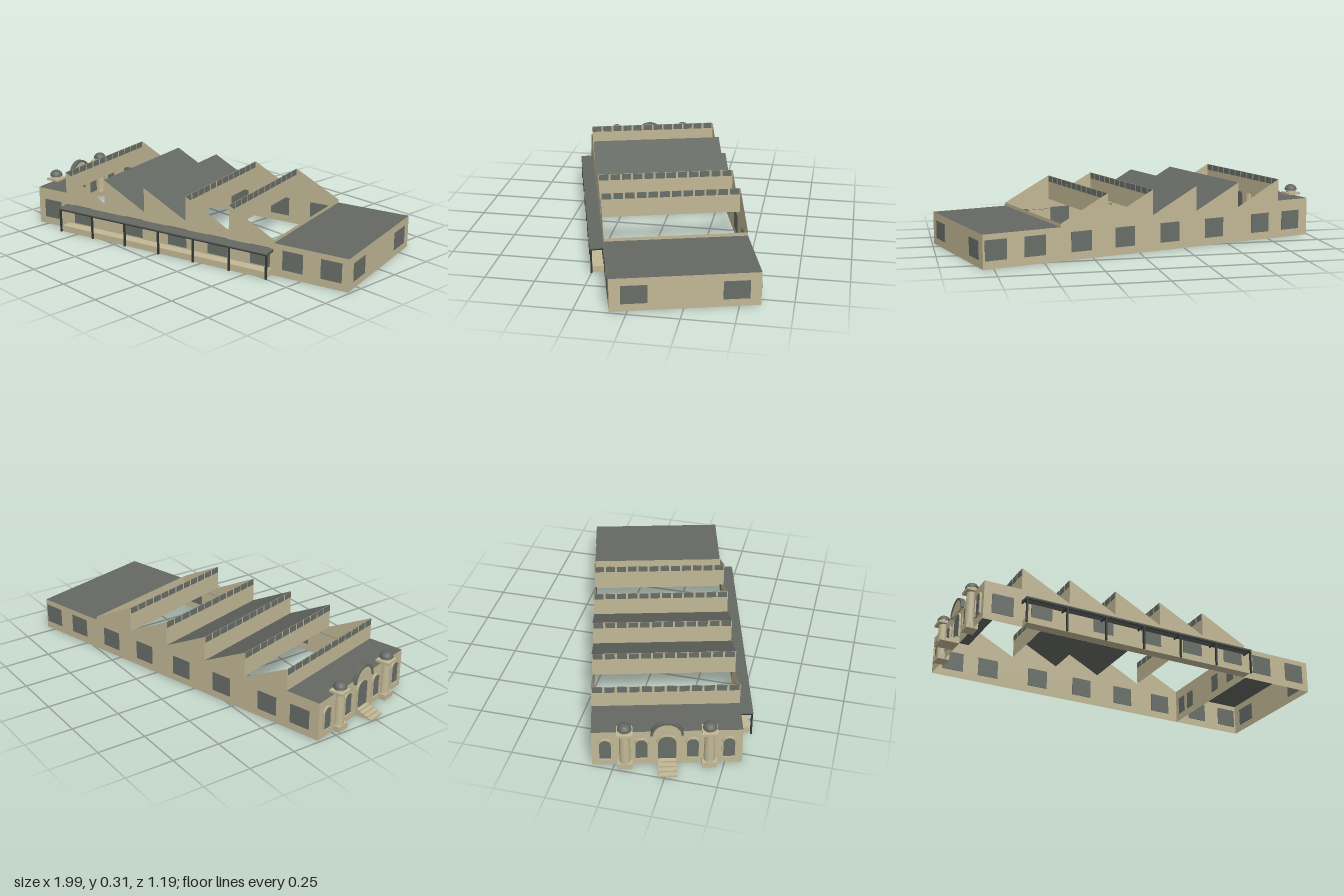
import * as THREE from 'three';

const mat = (name, color, side = THREE.FrontSide) => {
  const m = new THREE.MeshStandardMaterial({ color, side });
  m.name = name;
  return m;
};

export function createModel() {
  const wall = mat('sand wall', 0xc2b896, THREE.DoubleSide);
  const roof = mat('grey roof', 0x646862, THREE.DoubleSide);
  const glass = mat('window grey', 0x686e68, THREE.DoubleSide);
  const metal = mat('dark metal', 0x343a37);

  const model = new THREE.Group();
  const building = new THREE.Group();
  building.name = 'factory';
  building.rotation.y = 0.2705;
  building.position.z = -0.01;
  model.add(building);

  const L = 0.93, W = 0.353;            // half length, half width
  const HEAD = -0.741, TAIL = 0.53;     // hall limits along x
  const BAYS = 5, STEP = (TAIL - HEAD) / BAYS;
  const VALLEY = 0.185, PEAK = 0.315, HEAD_H = 0.2, TAIL_H = 0.168;

  const add = (name, geo, m, x = 0, y = 0, z = 0, parent = building) => {
    const mesh = new THREE.Mesh(geo, m);
    mesh.name = name;
    mesh.position.set(x, y, z);
    parent.add(mesh);
    return mesh;
  };
  const box = (name, m, w, h, d, x, y, z, parent) =>
    add(name, new THREE.BoxGeometry(w, h, d), m, x, y, z, parent);
  // thin wall standing across the building
  const crossWall = (name, x, y0, y1) => {
    const p = add(name, new THREE.PlaneGeometry(2 * W, y1 - y0), wall, x, (y0 + y1) / 2, 0);
    p.rotation.y = -Math.PI / 2;
  };
  // roof sheet between two heights
  const roofSheet = (name, x0, y0, x1, y1) => {
    const g = new THREE.PlaneGeometry(Math.hypot(x1 - x0, y1 - y0), 2 * W);
    g.rotateX(-Math.PI / 2);
    g.rotateZ(Math.atan2(y1 - y0, x1 - x0));
    add(name, g, roof, (x0 + x1) / 2, (y0 + y1) / 2, 0);
  };

  // long side walls with the sawtooth outline
  const side = new THREE.Shape();
  side.moveTo(-L, 0);
  side.lineTo(L, 0);
  side.lineTo(L, TAIL_H);
  side.lineTo(TAIL, TAIL_H);
  side.lineTo(TAIL, VALLEY);
  for (let i = BAYS - 1; i >= 0; i--) {
    side.lineTo(HEAD + i * STEP, PEAK);
    side.lineTo(HEAD + i * STEP, i ? VALLEY : HEAD_H);
  }
  side.lineTo(-L, HEAD_H);
  const sideGeo = new THREE.ShapeGeometry(side);
  add('frontWall', sideGeo, wall, 0, 0, W);
  add('backWall', sideGeo, wall, 0, 0, -W);

  // cross walls and flat roofs of the end blocks
  crossWall('entranceWall', -L, 0, HEAD_H);
  crossWall('tailWall', L, 0, TAIL_H);
  crossWall('partitionWall', TAIL, 0, VALLEY);
  roofSheet('headRoof', -L, HEAD_H, HEAD, HEAD_H);
  roofSheet('tailRoof', TAIL, TAIL_H, L, TAIL_H);

  // sawtooth uprights with clerestory panes; two bays are roofed
  const PANES = 12, pitch = (2 * W) / PANES;
  for (let i = 0; i < BAYS; i++) {
    const x = HEAD + i * STEP;
    crossWall('clerestoryWall', x, i ? VALLEY : HEAD_H, PEAK);
    for (let k = 0; k < PANES; k++)
      box('clerestoryPane', glass, 0.006, 0.031, pitch * 0.82, x, 0.298, -W + (k + 0.5) * pitch);
    if (i === 1 || i === 2) roofSheet('sawtoothRoof', x, PEAK, x + STEP, VALLEY);
  }

  // wall windows
  for (const x of [-0.834, -0.633, -0.3, -0.03, 0.21, 0.454, 0.634, 0.84])
    box('frontWindow', glass, 0.11, 0.1, 0.006, x, 0.09, W);
  for (const x of [-0.82, -0.626, -0.34, -0.076, 0.18, 0.42, 0.665, 0.865])
    box('backWindow', glass, 0.11, 0.1, 0.006, x, 0.09, -W);
  for (const z of [-0.238, 0.238])
    box('tailWindow', glass, 0.006, 0.092, 0.125, L, 0.084, z);
  for (const z of [-0.29, -0.2, 0.06, 0.21, 0.3])
    box('partitionWindow', glass, 0.006, 0.09, 0.06, TAIL, 0.085, z);

  // loading platform with canopy and posts
  const c0 = -0.74, c1 = 0.528, cm = (c0 + c1) / 2, cl = c1 - c0;
  box('platform', wall, cl - 0.02, 0.033, 0.055, cm, 0.0165, W + 0.028);
  const canopy = box('canopy', roof, cl, 0.006, 0.068, cm, 0.132, W + 0.034);
  canopy.rotation.x = 0.07;
  box('canopyBeam', metal, cl, 0.009, 0.006, cm, 0.1245, W + 0.062);
  for (let i = 0; i < 7; i++) {
    const x = c0 + 0.005 + (i * (cl - 0.01)) / 6;
    box('canopyPost', metal, 0.009, 0.128, 0.009, x, 0.064, W + 0.062);
    box('canopyRafter', metal, 0.006, 0.007, 0.062, x, 0.1255, W + 0.031);
  }

  // entrance facade: local x runs along the wall, local z points outward
  const facade = new THREE.Group();
  facade.name = 'entranceFacade';
  facade.rotation.y = -Math.PI / 2;
  facade.position.x = -L;
  building.add(facade);

  const archPath = (P, w, h) => {
    const p = new P(), r = w / 2;
    p.moveTo(-r, 0);
    p.lineTo(r, 0);
    p.lineTo(r, h - r);
    p.absarc(0, h - r, r, 0, Math.PI, false);
    p.lineTo(-r, 0);
    return p;
  };
  const extrude = (shape, depth) =>
    new THREE.ExtrudeGeometry(shape, { depth, bevelEnabled: false, curveSegments: 10 });
  const archWindow = (x, y, w, h) => {
    add('archedPane', extrude(archPath(THREE.Shape, w, h), 0.006), glass, x, y, -0.003, facade);
    const frame = archPath(THREE.Shape, w + 0.014, h + 0.007);
    frame.holes.push(archPath(THREE.Path, w, h));
    add('archFrame', extrude(frame, 0.009), wall, x, y, 0, facade);
  };
  archWindow(0, 0.034, 0.085, 0.14);
  for (const s of [-1, 1]) {
    archWindow(s * 0.12, 0.04, 0.055, 0.115);
    archWindow(s * 0.29, 0.04, 0.055, 0.115);
  }

  // curved gable above the door
  const gable = new THREE.Shape();
  gable.absarc(0, 0, 0.072, 0, Math.PI, false);
  add('gable', extrude(gable, 0.016), wall, 0, 0.183, -0.006, facade);
  const rim = new THREE.Shape();
  rim.absarc(0, 0, 0.077, 0, Math.PI, false);
  rim.absarc(0, 0, 0.066, Math.PI, 0, true);
  add('gableRim', extrude(rim, 0.024), roof, 0, 0.183, -0.01, facade);

  // domed columns either side of the door
  for (const s of [-1, 1]) {
    const tower = new THREE.Group();
    tower.name = 'domedColumn';
    tower.position.set(s * 0.198, 0, 0.006);
    facade.add(tower);
    box('columnBase', wall, 0.07, 0.03, 0.06, 0, 0.015, 0, tower);
    add('columnShaft', new THREE.CylinderGeometry(0.024, 0.027, 0.17, 16), wall, 0, 0.115, 0, tower);
    box('columnCap', wall, 0.074, 0.012, 0.074, 0, 0.206, 0, tower);
    add('domeDrum', new THREE.CylinderGeometry(0.026, 0.026, 0.014, 16), wall, 0, 0.219, 0, tower);
    const dome = new THREE.SphereGeometry(0.034, 18, 8, 0, Math.PI * 2, 0, Math.PI / 2);
    add('dome', dome, roof, 0, 0.224, 0, tower).scale.y = 0.9;
  }

  // entrance steps
  const STEPS = 4, tread = 0.095 / STEPS, rise = 0.034 / STEPS;
  for (let i = 0; i < STEPS; i++)
    box('entranceStep', wall, 0.088, rise * (STEPS - i), tread, 0, (rise * (STEPS - i)) / 2, tread * (i + 0.5), facade);

  return model;
}
